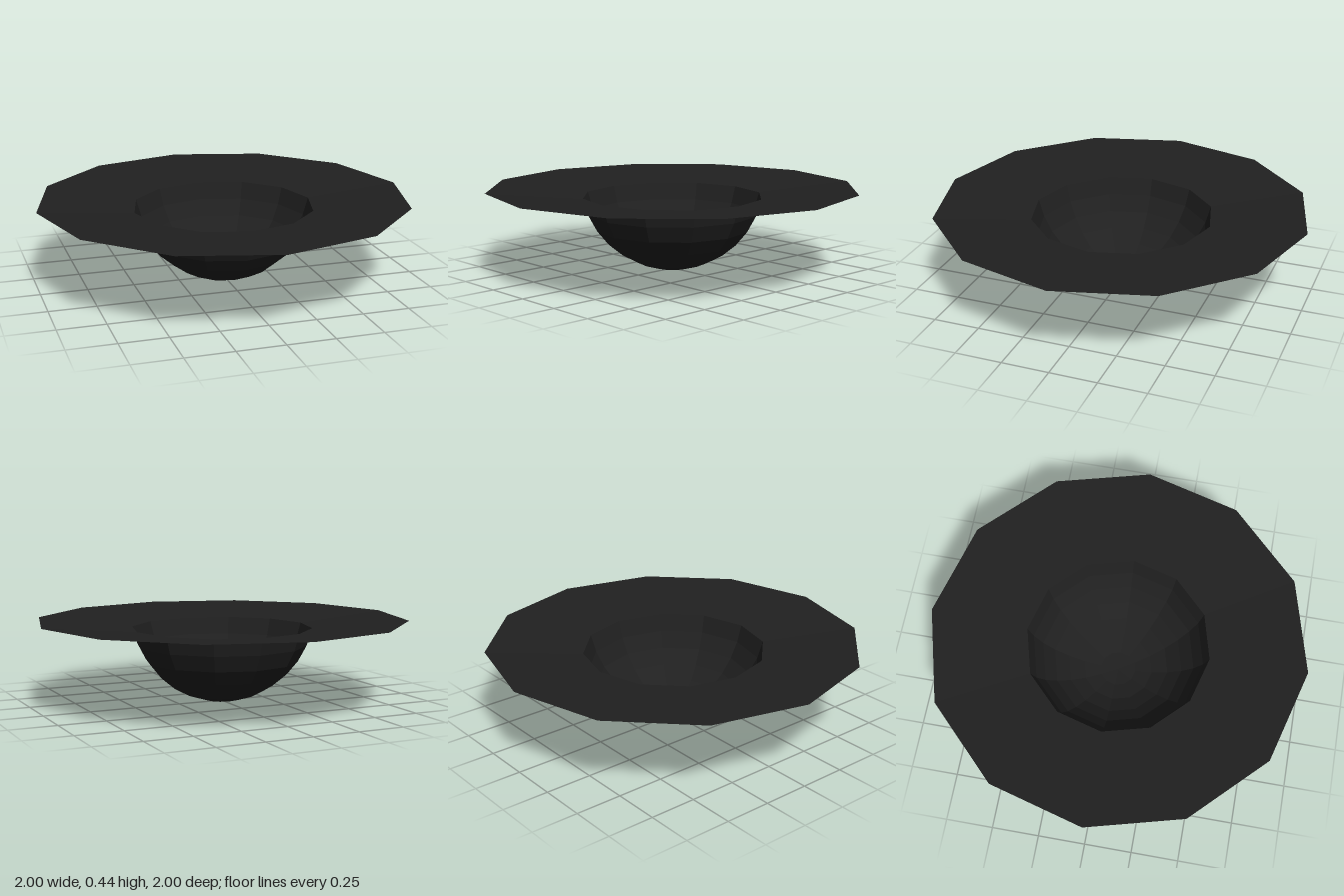
import * as THREE from 'three';

const SIDES = 12;
const RADIUS = 0.497;
const STEP = Math.PI / 16;
const RINGS = 7;

export function createModel() {
  const group = new THREE.Group();
  group.name = 'wideRimBowl';
  const material = new THREE.MeshStandardMaterial({
    color: 0x202020, flatShading: true, side: THREE.DoubleSide,
  });

  const addLathe = (name, points) => {
    const mesh = new THREE.Mesh(new THREE.LatheGeometry(points, SIDES), material);
    mesh.name = name;
    group.add(mesh);
  };

  // Spherical bowl, open just below its equator
  const profile = [];
  for (let i = 0; i <= RINGS; i++) {
    const a = i * STEP;
    profile.push(new THREE.Vector2(RADIUS * Math.sin(a), RADIUS * (1 - Math.cos(a))));
  }
  addLathe('bowl', profile);

  // Thin rim, rising slightly outwards from the bowl's lip
  addLathe('rim', [profile[RINGS].clone(), new THREE.Vector2(1, 0.445)]);

  return group;
}
